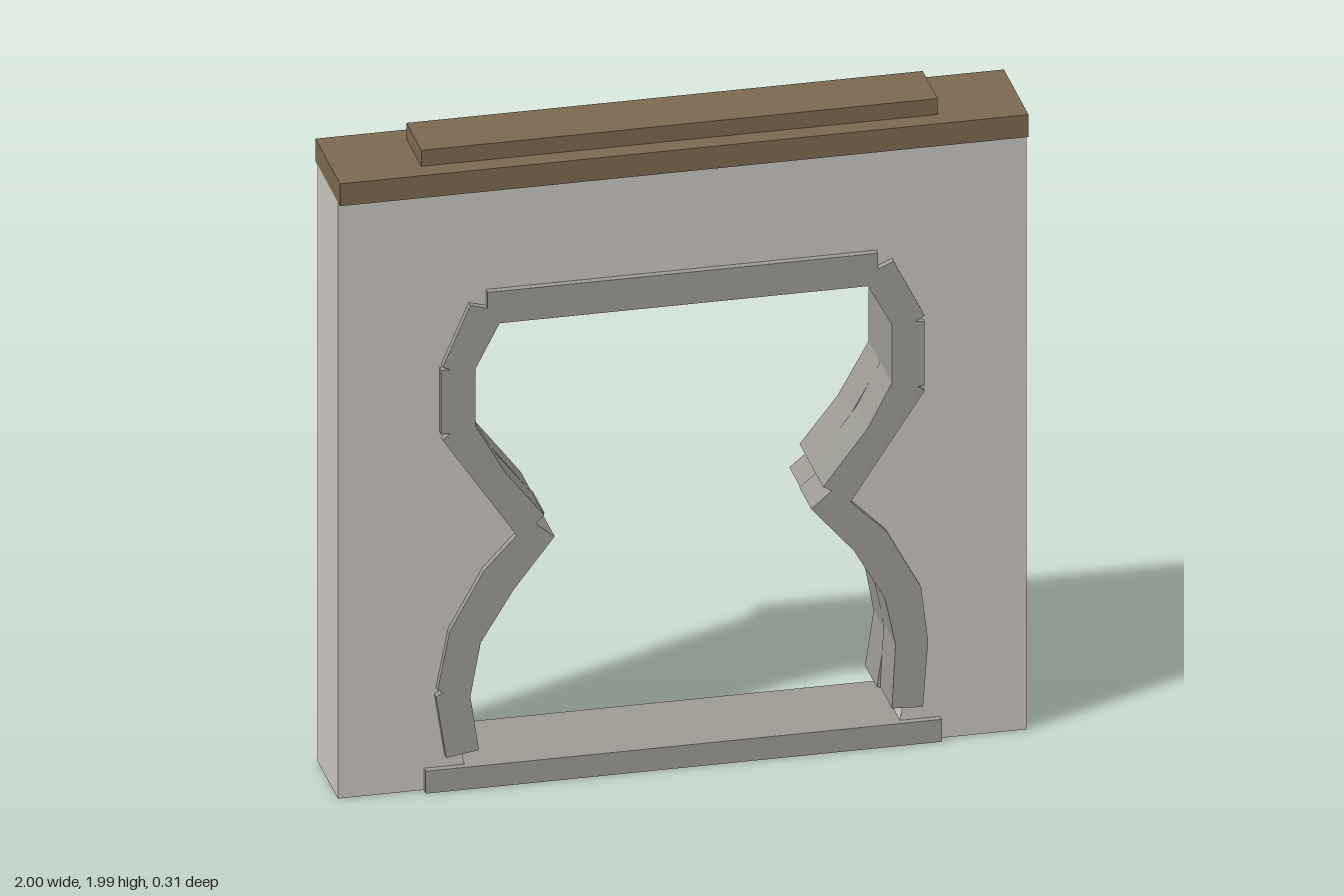
import * as THREE from 'three';

function mat(name, color) {
  const m = new THREE.MeshStandardMaterial({ color });
  m.name = name;
  return m;
}

// Flat outline pushed from z0 to z1
function slab(points, z0, z1) {
  const shape = new THREE.Shape(points.map(([x, y]) => new THREE.Vector2(x, y)));
  const geo = new THREE.ExtrudeGeometry(shape, { depth: z1 - z0, bevelEnabled: false });
  return geo.translate(0, 0, z0);
}

export function createModel() {
  const plaster = mat('plaster', 0xc8c4be);
  const stone = mat('stone', 0x9c9a92);
  const wood = mat('wood', 0x7a6850);
  const model = new THREE.Group();
  model.name = 'gateway';

  const add = (name, geometry, material, parent = model) => {
    const mesh = new THREE.Mesh(geometry, material);
    mesh.name = name;
    parent.add(mesh);
    return mesh;
  };
  const box = (name, w, y0, y1, d, material) =>
    add(name, new THREE.BoxGeometry(w, y1 - y0, d).translate(0, (y0 + y1) / 2, 0), material);

  // Wall with a vase-shaped opening reaching the ground
  const side = [
    [0.62, 0.002], [0.64, 0.11], [0.67, 0.305], [0.63, 0.48], [0.54, 0.64], [0.445, 0.785],
    [0.65, 1.12], [0.65, 1.32], [0.57, 1.475], [0.545, 1.5],
  ];
  const mirrored = side.map(([x, y]) => [-x, y]).reverse();
  add('wall', slab([
    [1, 0.002], [1, 1.87], [-1, 1.87], [-1, 0.002], ...mirrored.reverse(), ...side.slice().reverse(),
  ], -0.125, 0.125), plaster);

  // Stone surround: jointed blocks, left and right jambs slightly uneven
  const jambA = [
    [-0.57, 1.55], [-0.57, 1.5], [-0.62, 1.515], [-0.7, 1.33], [-0.68, 1.32], [-0.705, 1.32],
    [-0.705, 1.12], [-0.68, 1.12], [-0.7, 1.1], [-0.485, 0.78], [-0.58, 0.68], [-0.68, 0.5],
    [-0.715, 0.32], [-0.7, 0.31], [-0.72, 0.3], [-0.69, 0.105], [-0.595, 0.12], [-0.62, 0.29],
    [-0.59, 0.455], [-0.495, 0.61], [-0.375, 0.765], [-0.43, 0.81], [-0.405, 0.835],
    [-0.515, 0.975], [-0.605, 1.135], [-0.605, 1.315], [-0.535, 1.45],
  ];
  const jambB = [
    [0.535, 1.45], [0.605, 1.32], [0.605, 1.14], [0.535, 1.005], [0.405, 0.835], [0.43, 0.82],
    [0.37, 0.77], [0.495, 0.625], [0.585, 0.465], [0.615, 0.32], [0.605, 0.12], [0.695, 0.115],
    [0.71, 0.32], [0.69, 0.49], [0.59, 0.675], [0.485, 0.78], [0.7, 1.105], [0.68, 1.12],
    [0.7, 1.12], [0.7, 1.32], [0.675, 1.325], [0.7, 1.34], [0.61, 1.52], [0.565, 1.5], [0.565, 1.55],
  ];
  const surround = slab([...jambA, ...jambB], 0, 0.146);
  add('frontSurround', surround, stone);
  add('backSurround', surround, stone).rotation.y = Math.PI;

  // Threshold
  box('threshold', 1.5, 0, 0.07, 0.292, stone);

  // Timber coping and ridge
  box('coping', 2, 1.87, 1.94, 0.306, wood);
  box('ridge', 1.5, 1.94, 1.99, 0.186, wood);
  return model;
}
